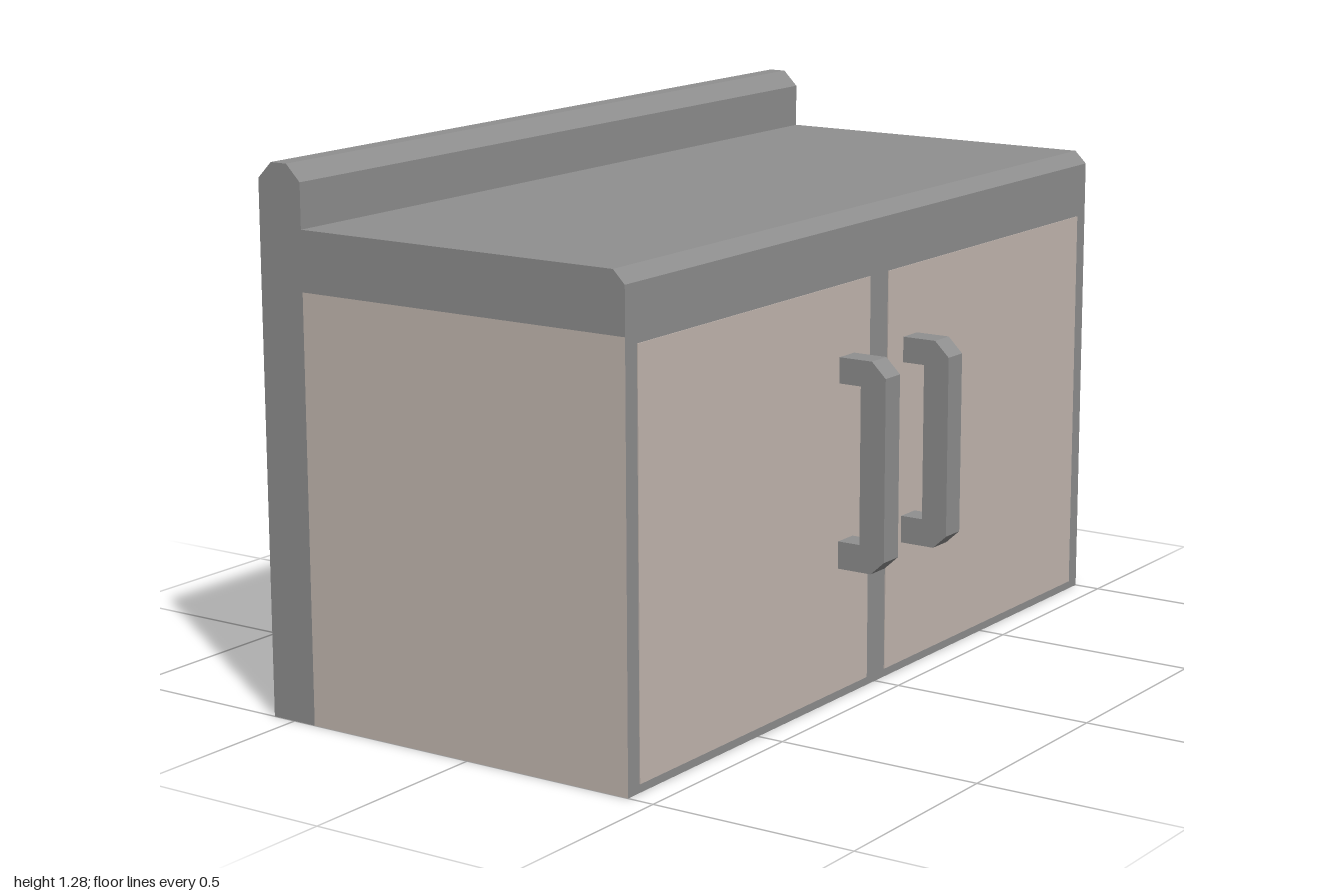
import * as THREE from 'three';

const grey = new THREE.MeshStandardMaterial({ color: 0x8f8f8f });
grey.name = 'grey';
const beige = new THREE.MeshStandardMaterial({ color: 0xc4b8b1 });
beige.name = 'beige';

const BACK = -0.56, POST = -0.44, FRONT = 0.435;

// Box given by its corner ranges
function box(name, [x0, x1], [y0, y1], [z0, z1], material) {
  const mesh = new THREE.Mesh(new THREE.BoxGeometry(x1 - x0, y1 - y0, z1 - z0), material);
  mesh.position.set((x0 + x1) / 2, (y0 + y1) / 2, (z0 + z1) / 2);
  mesh.name = name;
  return mesh;
}

// Side profile in x and y, extruded along z and centred on the given z
function profile(name, points, depth, z) {
  const shape = new THREE.Shape(points.map(([x, y]) => new THREE.Vector2(x, y)));
  const geometry = new THREE.ExtrudeGeometry(shape, { depth, bevelEnabled: false });
  geometry.translate(0, 0, z - depth / 2);
  const mesh = new THREE.Mesh(geometry, grey);
  mesh.name = name;
  return mesh;
}

export function createModel() {
  const group = new THREE.Group();
  group.name = 'cabinet';

  // Carcass: face order is +x, -x, +y, -y, +z, -z
  group.add(box('body', [POST, FRONT], [0, 1], [-1, 1], [grey, beige, grey, beige, beige, beige]));
  group.add(box('backPanel', [BACK, POST], [0, 1], [-1, 1], [grey, beige, grey, beige, grey, grey]));

  // Worktop with chamfered front edge and raised backsplash
  group.add(profile('worktop', [
    [BACK, 1], [FRONT, 1], [FRONT, 1.11], [0.405, 1.14], [POST, 1.14],
    [POST, 1.245], [-0.478, 1.283], [-0.522, 1.283], [BACK, 1.245],
  ], 2, 0));

  // Pair of doors with handles
  for (const side of [-1, 1]) {
    const z = [side * 0.04, side * 0.958].sort((a, b) => a - b);
    group.add(box('door', [FRONT - 0.002, FRONT + 0.002], [0.02, 0.98], z, beige));
    group.add(profile('handle', [
      [FRONT, 0.315], [0.525, 0.315], [0.56, 0.347], [0.56, 0.777], [0.523, 0.813],
      [FRONT, 0.813], [FRONT, 0.752], [0.494, 0.752], [0.494, 0.38], [FRONT, 0.38],
    ], 0.062, side * 0.14));
  }
  return group;
}
